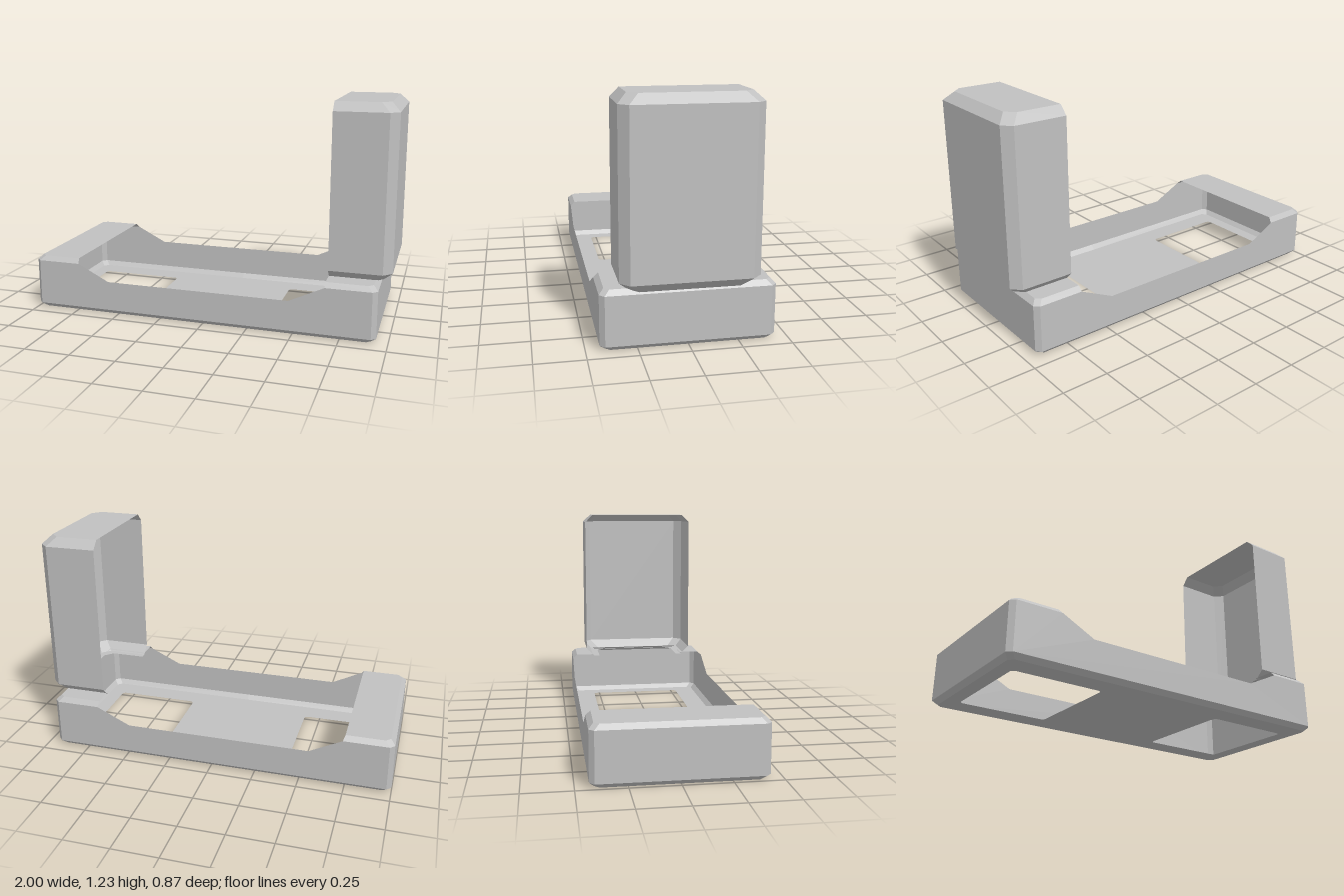
import * as THREE from 'three';

const grey = new THREE.MeshStandardMaterial({ color: 0xc0c0c0, side: THREE.DoubleSide, flatShading: true });
grey.name = 'plain grey';

const HALF = 0.433, BEVEL = 0.025, RIM = 0.28, TOP = 0.305;
const RIGHT = 0.94, LEFT = -1, COVER_R = 0.67, COVER_L = -0.74;

// U-shaped outline in x,z with cut corners, wrapped around the end at x
function endOutline(x, half, cut, from, inset = 0) {
  const s = Math.sign(x), e = x - s * inset, h = half - inset;
  const pts = [[from, -h], [e - s * cut, -h], [e, -h + cut], [e, h - cut], [e - s * cut, h], [from, h]];
  return s > 0 ? pts : pts.reverse();
}

// Band of faces between a lower and an upper outline
function band(lower, y0, upper, y1) {
  const v = [];
  for (let i = 0; i < lower.length - 1; i++) {
    const a = [lower[i][0], y0, lower[i][1]], b = [upper[i][0], y1, upper[i][1]];
    const c = [upper[i + 1][0], y1, upper[i + 1][1]], d = [lower[i + 1][0], y0, lower[i + 1][1]];
    v.push(...a, ...b, ...c, ...a, ...c, ...d);
  }
  const g = new THREE.BufferGeometry();
  g.setAttribute('position', new THREE.Float32BufferAttribute(v, 3));
  g.computeVertexNormals();
  return g;
}

const toShape = (pts) => new THREE.Shape(pts.map((p) => new THREE.Vector2(p[0], p[1])));

// Horizontal sheet from an x,z shape that is symmetric in z
function sheet(shape, y, up = true) {
  return new THREE.ShapeGeometry(shape, 4).rotateX(up ? -Math.PI / 2 : Math.PI / 2).translate(0, y, 0);
}

function roundedWindow(x0, x1, h, r) {
  const p = new THREE.Path();
  p.moveTo(x0 + r, -h);
  p.lineTo(x1 - r, -h);
  p.quadraticCurveTo(x1, -h, x1, -h + r);
  p.lineTo(x1, h - r);
  p.quadraticCurveTo(x1, h, x1 - r, h);
  p.lineTo(x0 + r, h);
  p.quadraticCurveTo(x0, h, x0, h - r);
  p.lineTo(x0, -h + r);
  p.quadraticCurveTo(x0, -h, x0 + r, -h);
  return p;
}

export function createModel() {
  const model = new THREE.Group();
  const tray = new THREE.Group();
  const upright = new THREE.Group();
  tray.name = 'tray';
  upright.name = 'uprightShell';
  model.add(tray, upright);
  const add = (group, name, geometry) => {
    const mesh = new THREE.Mesh(geometry, grey);
    mesh.name = name;
    group.add(mesh);
  };

  // Floor with two windows
  const floor = toShape([
    ...endOutline(RIGHT, HALF, BEVEL, 0, BEVEL).slice(1, 5),
    ...endOutline(LEFT, HALF, BEVEL, 0, BEVEL).slice(1, 5),
  ]);
  floor.holes.push(roundedWindow(0.335, 0.83, 0.285, 0.025), roundedWindow(-0.9, -0.405, 0.285, 0.025));
  add(tray, 'floor', sheet(floor, 0, false));

  // Bevels and end walls at both ends
  for (const [side, x, cover] of [['left', RIGHT, COVER_R], ['right', LEFT, COVER_L]]) {
    const mid = endOutline(x, HALF, BEVEL, 0);
    add(tray, side + 'BottomBevel', band(endOutline(x, HALF, BEVEL, 0, BEVEL), 0, mid, BEVEL));
    const wall = mid.slice(1, 5);
    add(tray, side + 'EndWall', band(wall, BEVEL, wall, RIM));
    add(tray, side + 'TopBevel', band(
      endOutline(x, HALF, BEVEL, cover + (x < 0 ? 0.01 : 0)), RIM,
      endOutline(x, HALF, BEVEL, cover, BEVEL), TOP));
  }

  // Long walls with a lowered middle
  const profile = toShape([
    [LEFT + BEVEL, BEVEL], [RIGHT - BEVEL, BEVEL], [RIGHT - BEVEL, RIM], [COVER_R, RIM],
    [0.48, 0.19], [-0.55, 0.19], [COVER_L + 0.01, RIM], [LEFT + BEVEL, RIM],
  ]);
  add(tray, 'frontWall', new THREE.ShapeGeometry(profile).translate(0, 0, HALF));
  const back = new THREE.ShapeGeometry(profile).translate(0, 0, -HALF);
  back.setIndex(Array.from(back.index.array).reverse());
  back.attributes.normal.array.forEach((n, i, a) => { a[i] = -n; });
  add(tray, 'backWall', back);

  // Full cover on one end, notched cover below the upright shell on the other
  add(tray, 'rightCover', sheet(toShape(endOutline(LEFT, HALF, BEVEL, COVER_L, BEVEL)), TOP));
  const gap = 0.285, gapEnd = RIGHT - BEVEL - 0.005;
  add(tray, 'leftCover', sheet(toShape([
    ...endOutline(RIGHT, HALF, BEVEL, COVER_R, BEVEL),
    [COVER_R, gap], [gapEnd, gap], [gapEnd, -gap], [COVER_R, -gap],
  ]), TOP));

  // Upright shell, open towards the tray and below
  const levels = [[0.295, 0.085], [0.295, 0.05], [0.345, 0], [1.178, 0], [1.225, 0.047]];
  const names = ['bottomLip', 'bottomBevel', 'walls', 'topBevel'];
  const ring = (inset) => endOutline(1, 0.342, 0.047, COVER_R, inset);
  names.forEach((name, i) => {
    const [y0, d0] = levels[i], [y1, d1] = levels[i + 1];
    add(upright, name, band(ring(d0), y0, ring(d1), y1));
  });
  add(upright, 'top', sheet(toShape(ring(0.047)), 1.225));

  return model;
}
